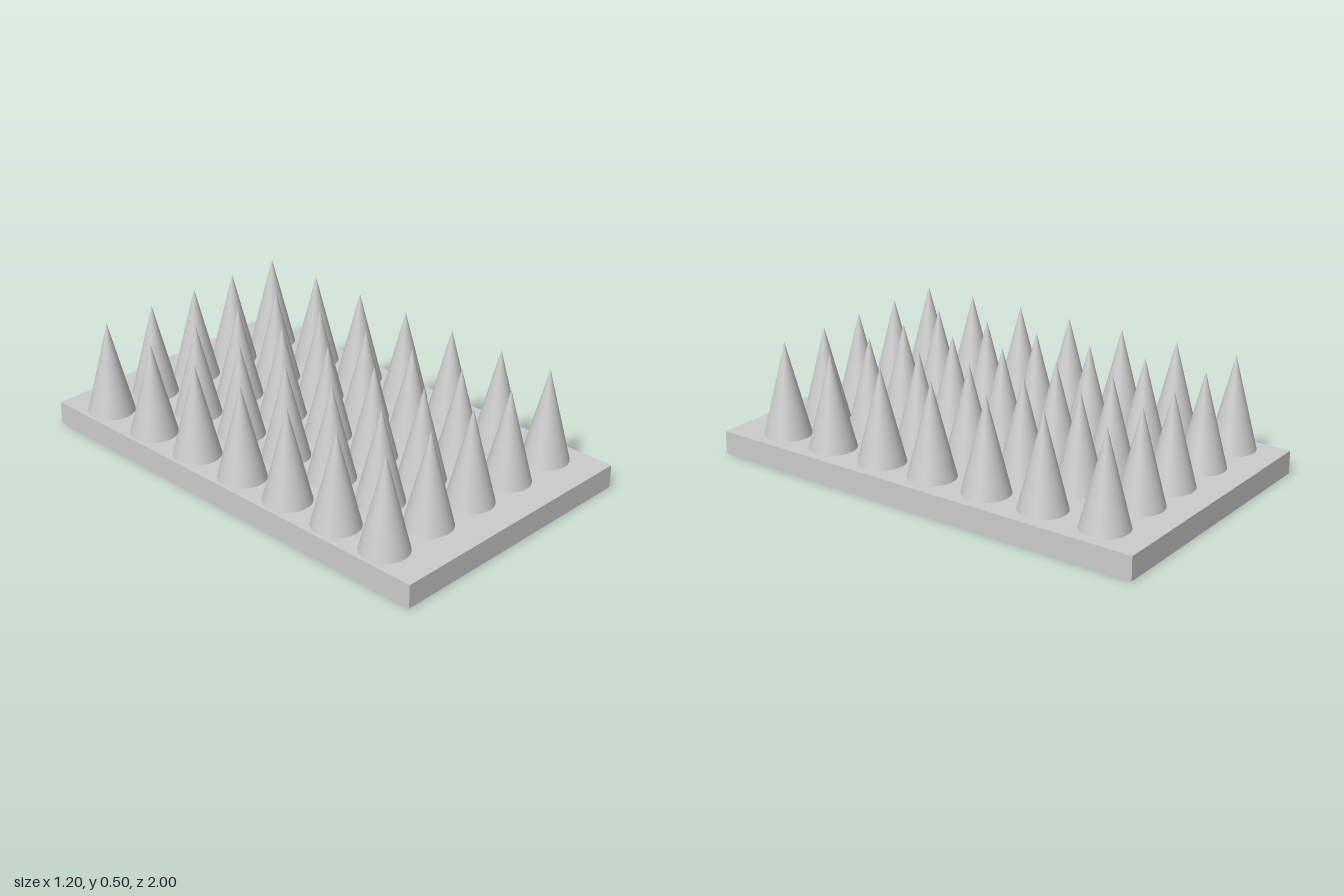
import * as THREE from 'three';

export function createModel() {
  const group = new THREE.Group();
  const material = new THREE.MeshStandardMaterial({ color: 0xcccccc });
  const slabHeight = 0.1, spikeHeight = 0.4, spikeRadius = 0.1;

  // flat slab
  const slab = new THREE.Mesh(new THREE.BoxGeometry(1.2, slabHeight, 2), material);
  slab.name = 'baseSlab';
  slab.position.y = slabHeight / 2;
  group.add(slab);

  // slightly uneven grid of spikes
  const columns = [-0.488, -0.245, -0.006, 0.217, 0.459];
  const rows = [-0.793, -0.516, -0.251, 0.013, 0.268, 0.528, 0.775];
  const spikes = new THREE.Group();
  spikes.name = 'spikes';
  const cone = new THREE.ConeGeometry(spikeRadius, spikeHeight, 48);
  for (const z of rows) {
    for (const x of columns) {
      const spike = new THREE.Mesh(cone, material);
      spike.name = 'spike';
      spike.position.set(x, slabHeight + spikeHeight / 2, z);
      spikes.add(spike);
    }
  }
  group.add(spikes);
  return group;
}
